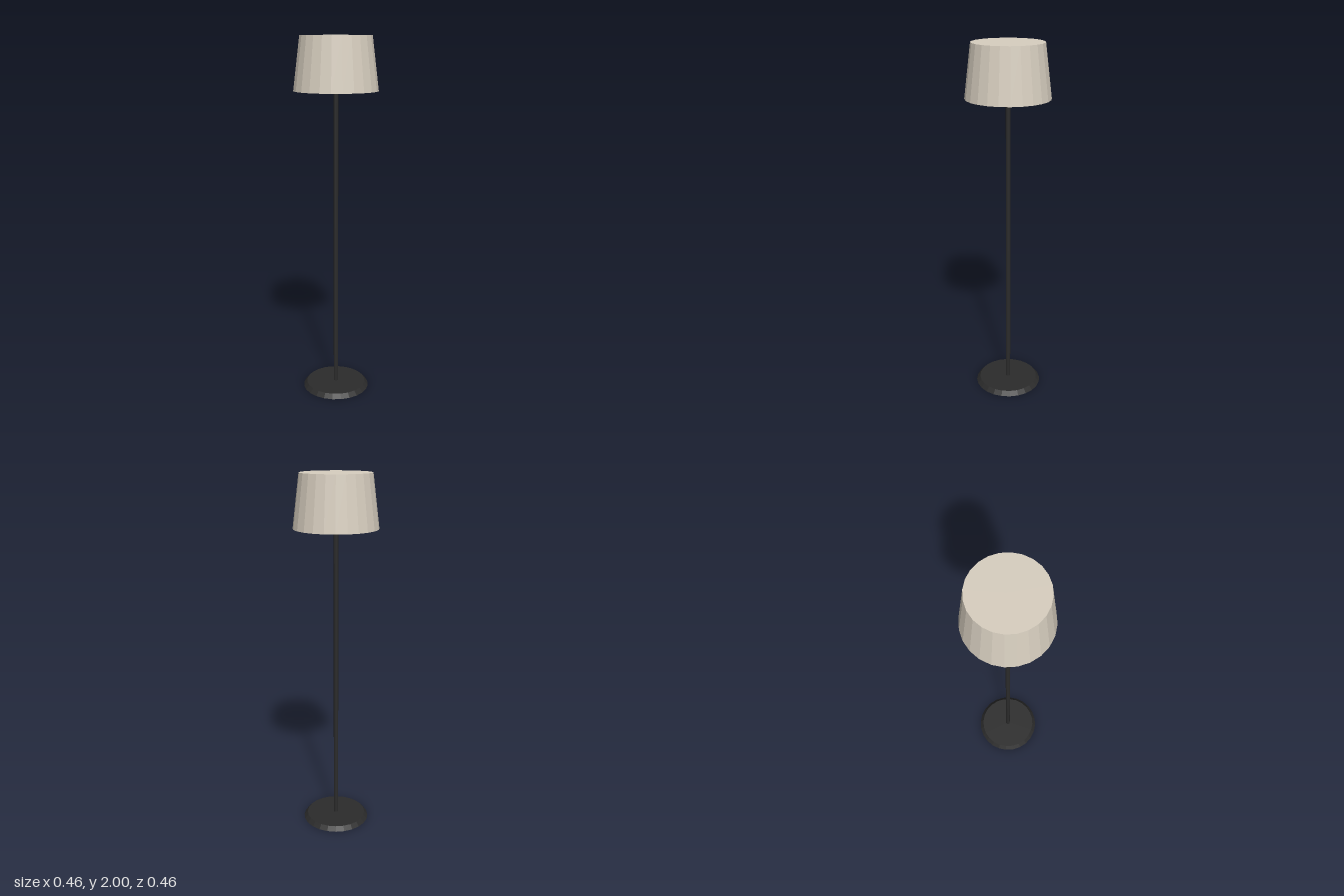
import * as THREE from 'three';

const material = (color) => new THREE.MeshStandardMaterial({ color, flatShading: true });

export function createModel() {
  const lamp = new THREE.Group();
  lamp.name = 'floorLamp';
  const dark = material(0x2b2b2b);
  const fabric = material(0xd8cfc0);

  // Closed, possibly tapered drum spanning y0 to y1
  const drum = (name, rTop, rBottom, y0, y1, sides, mat) => {
    const mesh = new THREE.Mesh(new THREE.CylinderGeometry(rTop, rBottom, y1 - y0, sides), mat);
    mesh.name = name;
    mesh.position.y = (y0 + y1) / 2;
    lamp.add(mesh);
  };

  drum('base', 0.17, 0.19, 0, 0.024, 24, dark);
  drum('pole', 0.013, 0.013, 0.02, 1.73, 12, dark);
  drum('shade', 0.192, 0.228, 1.715, 2, 24, fabric);

  return lamp;
}
